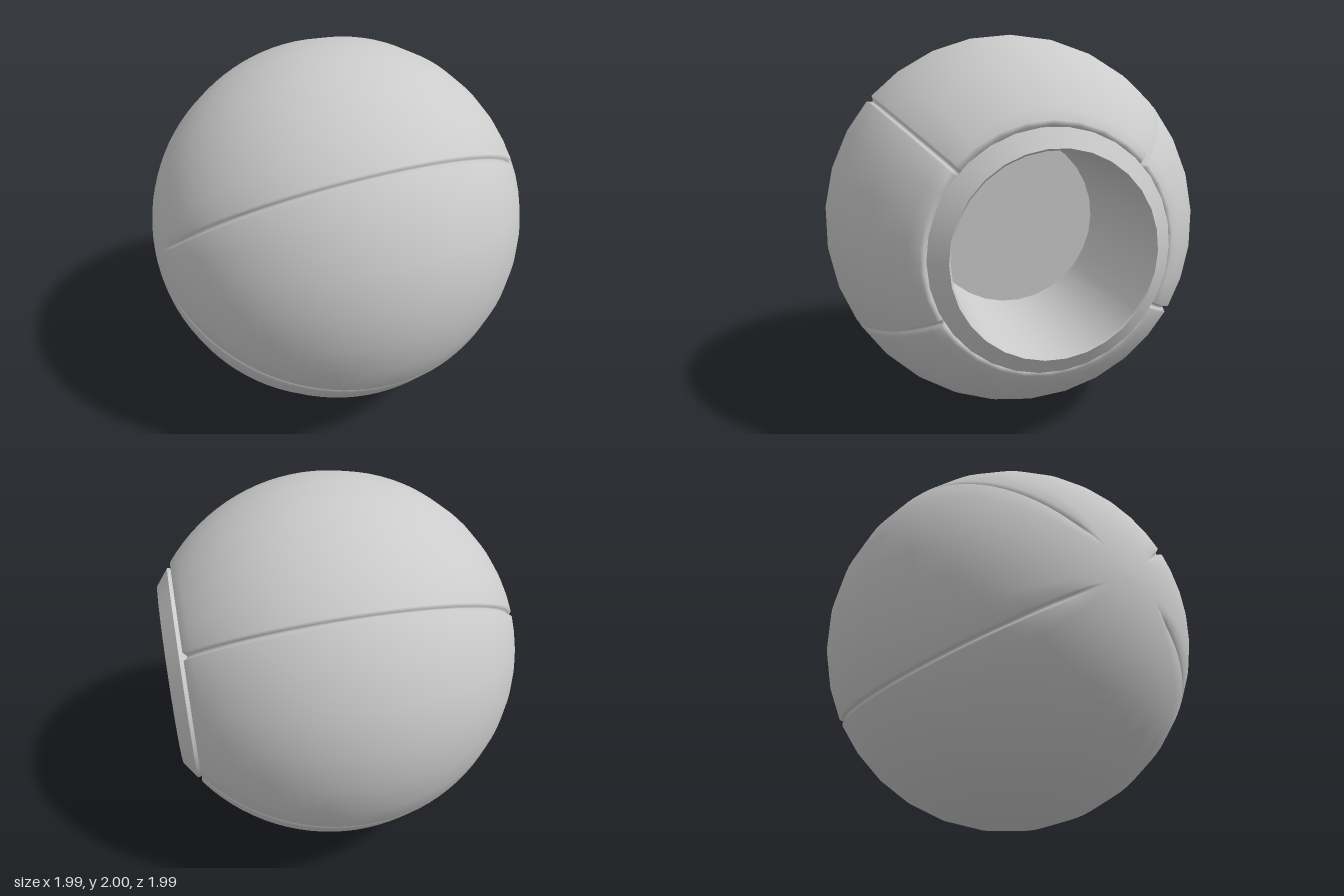
import * as THREE from 'three';

const SIDES = 30;               // facets around the socket axis
const STEP = (Math.PI * 2) / SIDES;
const SEAMS = [4, 10, 20, 26];  // facet corners that carry a panel groove
const AXIAL = 1.02;             // slight stretch along the axis
const RIM = 0.622;              // polar angle where the shell meets the collar
const SEAM_END = Math.PI - 0.2; // grooves stop short of the far pole

const material = () => new THREE.MeshStandardMaterial({ color: 0xcccccc });

// Columns around the axis: plain corners, plus a V profile at each seam
function shellColumns() {
  const columns = [];
  for (let k = 0; k < SIDES; k++) {
    if (SEAMS.includes(k)) {
      for (const [offset, depth] of [[-1, 0], [-0.4, 0.75], [0, 1], [0.4, 0.75], [1, 0]]) {
        columns.push({ theta: k * STEP, offset, depth });
      }
    } else columns.push({ theta: k * STEP, offset: 0, depth: 0 });
  }
  return columns;
}

// Ball shell with its axis along +x, open at the collar
function shellGeometry() {
  const columns = shellColumns();
  const rows = [{ phi: RIM, scale: 0.965 }, { phi: RIM + 0.006, scale: 0.985 }, { phi: RIM + 0.02, scale: 1 }];
  const n = 40;
  for (let i = 1; i <= n; i++) {
    rows.push({ phi: RIM + 0.02 + ((Math.PI - RIM - 0.02) * i) / n, scale: 1 });
  }
  const positions = [];
  const index = [];
  for (const { phi, scale } of rows) {
    const fade = THREE.MathUtils.smoothstep(SEAM_END - phi, 0, 0.2);
    const spread = Math.min(0.06, 0.02 / Math.max(Math.sin(phi), 0.01));
    for (const { theta, offset, depth } of columns) {
      const t = theta + offset * spread;
      const r = scale - 0.024 * depth * fade;
      positions.push(
        AXIAL * r * Math.cos(phi),
        r * Math.sin(phi) * Math.cos(t),
        r * Math.sin(phi) * Math.sin(t)
      );
    }
  }
  const w = columns.length;
  for (let i = 0; i < rows.length - 1; i++) {
    for (let j = 0; j < w; j++) {
      const a = i * w + j;
      const c = i * w + ((j + 1) % w);
      index.push(a, a + w, c);
      if (i < rows.length - 2) index.push(a + w, c + w, c);
    }
  }
  const geometry = new THREE.BufferGeometry();
  geometry.setAttribute('position', new THREE.Float32BufferAttribute(positions, 3));
  geometry.setIndex(index);
  geometry.computeVertexNormals();
  return geometry;
}

// Revolved part given as [radius, distance along axis], turned to face +x
function revolved(name, profile) {
  const geometry = new THREE.LatheGeometry(profile.map(([r, h]) => new THREE.Vector2(r, h)), SIDES);
  geometry.rotateZ(-Math.PI / 2);
  const mesh = new THREE.Mesh(geometry, material());
  mesh.name = name;
  return mesh;
}

export function createModel() {
  const ball = new THREE.Group();
  ball.name = 'socketBall';

  const shell = new THREE.Mesh(shellGeometry(), material());
  shell.name = 'panelledShell';
  ball.add(shell);

  // Collar around the opening
  ball.add(revolved('collarEdge', [[0.562, 0.795], [0.572, 0.836]]));
  ball.add(revolved('collarFace', [[0.572, 0.836], [0.484, 0.9]]));

  // Blind socket bored to the middle of the ball
  ball.add(revolved('socketWall', [[0.484, 0.9], [0.475, 0.89], [0.475, 0.07]]));
  ball.add(revolved('socketFloor', [[0.475, 0.07], [0, 0.07]]));

  // The opening points to the side, turned slightly to the back
  ball.rotation.y = THREE.MathUtils.degToRad(10);
  ball.position.set(0.02, 1, 0);

  const model = new THREE.Group();
  model.name = 'model';
  model.add(ball);
  return model;
}
